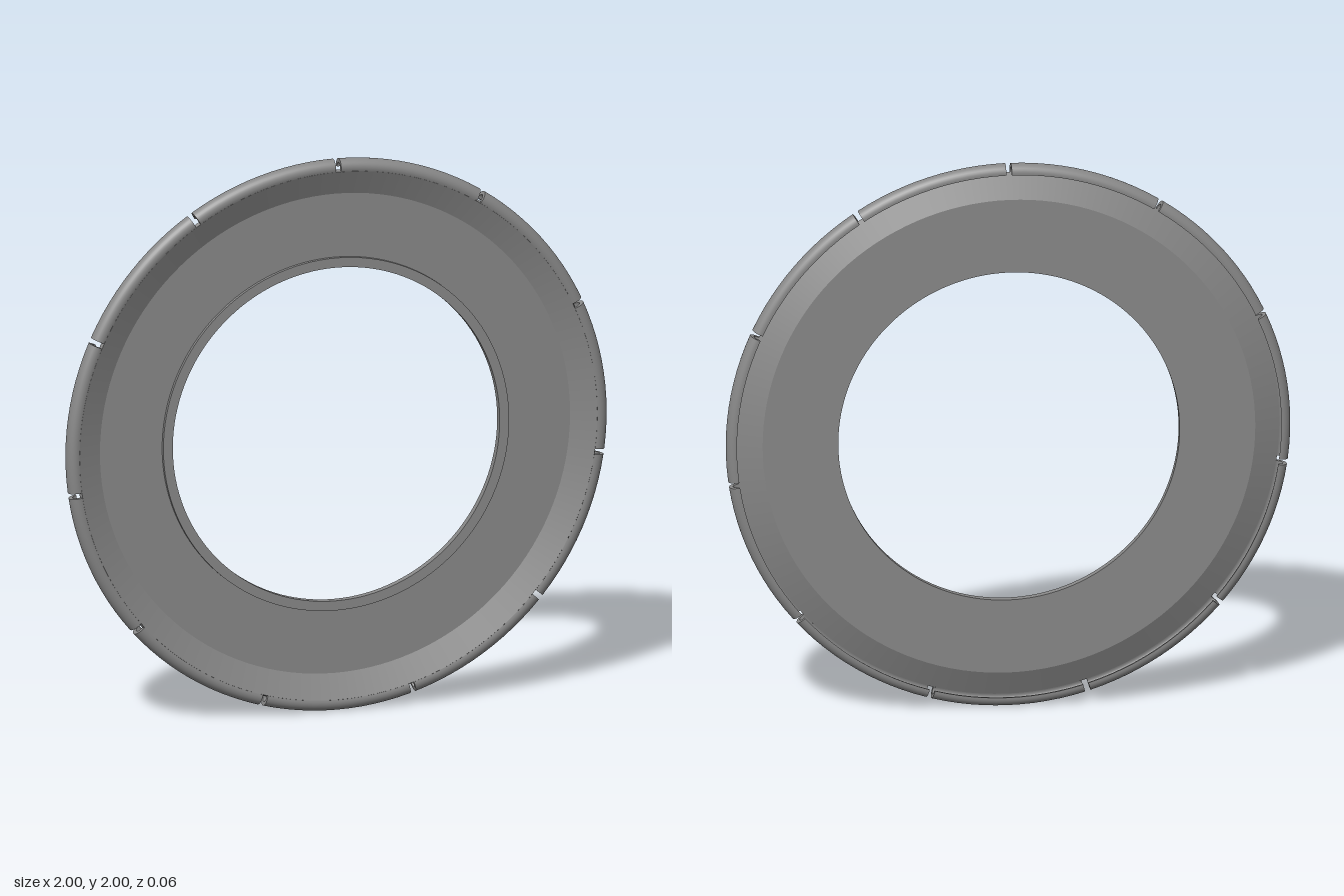
import * as THREE from 'three';
import { mergeGeometries } from 'three/addons/utils/BufferGeometryUtils.js';

const SLOTS = 11, STEP = Math.PI * 2 / SLOTS, GAP = 0.02;
const V = (r, z) => new THREE.Vector2(r, z);

// Points along an arc of the curled rim, angles in degrees
function arc(radius, from, to, n = 18) {
  return Array.from({ length: n + 1 }, (_, i) => {
    const a = THREE.MathUtils.degToRad(from + (to - from) * i / n);
    return V(0.97 + radius * Math.cos(a), radius * Math.sin(a));
  });
}

// Revolves each smooth run separately so edges between runs stay sharp
function revolve(runs, segments, start = 0, length = Math.PI * 2) {
  return runs.map(run => new THREE.LatheGeometry(run, segments, start, length));
}

export function createModel() {
  const model = new THREE.Group();
  const metal = new THREE.MeshStandardMaterial({ color: 0x888888 });
  metal.side = THREE.DoubleSide;

  const add = (name, parts) => {
    const geometry = mergeGeometries(parts);
    geometry.rotateX(Math.PI / 2).translate(0, 1, 0);
    const mesh = new THREE.Mesh(geometry, metal);
    mesh.name = name;
    model.add(mesh);
  };

  // Dished plate: flat web, sloped shoulder, raised lip around the hole
  const outline = [
    V(0.605, -0.025), V(0.873, -0.025), V(0.9638, 0.0147), V(0.958, 0.0277),
    V(0.87, -0.011), V(0.64, -0.011), V(0.64, 0.003), V(0.605, 0.003), V(0.605, -0.025),
  ];
  const plateRuns = outline.slice(1).map((p, i) => [outline[i], p]);
  add('dishedPlate', revolve(plateRuns, 132));

  // Curled rim, divided by narrow slots
  const outer = arc(0.03, -100, 113);
  const inner = arc(0.016, 113, -100);
  const section = new THREE.Shape([...outer, ...inner]);
  const rimRuns = [outer, inner, [inner[inner.length - 1], outer[0]]];
  for (let i = 0; i < SLOTS; i++) {
    const start = Math.PI + i * STEP + GAP / 2;
    const length = STEP - GAP;
    const caps = [start, start + length].map(phi =>
      new THREE.ShapeGeometry(section).rotateY(phi - Math.PI / 2));
    // The far cap faces the other way
    const index = caps[1].index;
    for (let k = 0; k < index.count; k += 3) {
      const a = index.getX(k);
      index.setX(k, index.getX(k + 1));
      index.setX(k + 1, a);
    }
    const normal = caps[1].attributes.normal;
    for (let k = 0; k < normal.count; k++) {
      normal.setXYZ(k, -normal.getX(k), -normal.getY(k), -normal.getZ(k));
    }
    add('rimSegment' + (i + 1), [...revolve(rimRuns, 12, start, length), ...caps]);
  }
  return model;
}
